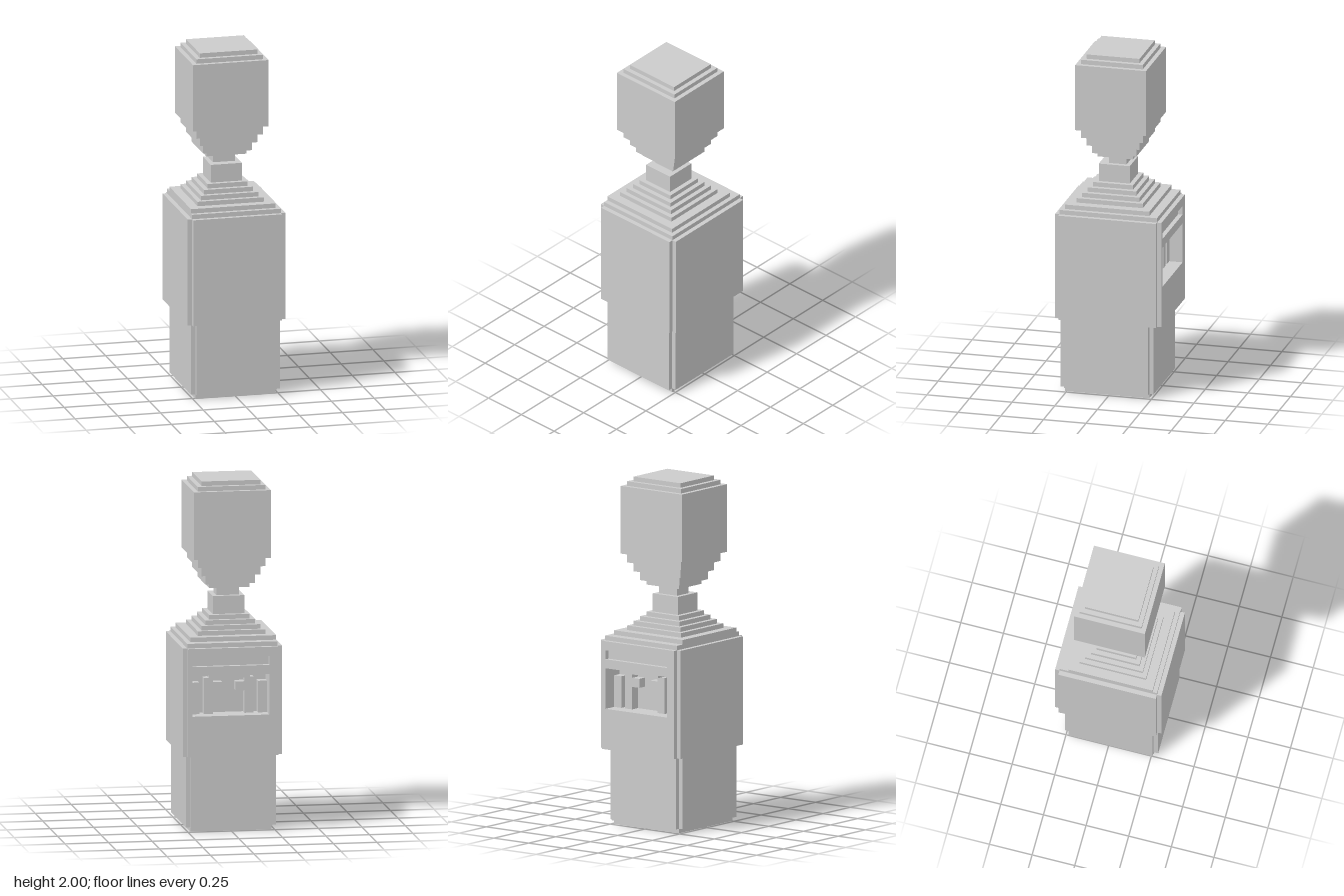
import * as THREE from 'three';

const V = 2 / 77; // one block step
const material = new THREE.MeshStandardMaterial({ color: 0xcccccc, flatShading: true });

// Box given by its limits in block steps
function block(parent, name, x0, x1, y0, y1, z0, z1) {
  const geometry = new THREE.BoxGeometry((x1 - x0) * V, (y1 - y0) * V, (z1 - z0) * V);
  const mesh = new THREE.Mesh(geometry, material);
  mesh.name = name;
  mesh.position.set((x0 + x1) / 2 * V, (y0 + y1) / 2 * V, (z0 + z1) / 2 * V);
  parent.add(mesh);
}

function rectangle(target, x0, x1, y0, y1) {
  target.moveTo(x0 * V, y0 * V);
  target.lineTo(x1 * V, y0 * V);
  target.lineTo(x1 * V, y1 * V);
  target.lineTo(x0 * V, y1 * V);
  target.closePath();
  return target;
}

function group(parent, name) {
  const g = new THREE.Group();
  g.name = name;
  parent.add(g);
  return g;
}

// Stack of slabs: [x0, x1, y0, y1, z0, z1]
function stack(parent, name, slabs) {
  const g = group(parent, name);
  slabs.forEach((s, i) => block(g, name + 'Step' + (i + 1), ...s));
}

export function createModel() {
  const model = new THREE.Group();
  model.name = 'steppedFigure';

  // Base and lower body, with notched corners
  stack(model, 'lowerBody', [
    [-9, 9, 0, 1, -9, 10],
    [-9, 9, 1, 17, -10, 11],
    [-10, 10, 1, 17, -9, 10],
  ]);

  // Upper body core and its two side plates
  const body = group(model, 'upperBody');
  block(body, 'bodyCore', -10, 10, 17, 41, -7, 12);
  block(body, 'leftSide', 10, 11, 17, 41, -11, 11);
  block(body, 'rightSide', -11, -10, 17, 41, -11, 11);

  // Back plate with a slot and a deep window cut through it
  const plate = rectangle(new THREE.Shape(), -10, 10, 17, 41);
  plate.holes.push(rectangle(new THREE.Path(), -8, 9, 37, 39));
  plate.holes.push(rectangle(new THREE.Path(), -8, 9, 26, 35));
  const backPlate = new THREE.Mesh(
    new THREE.ExtrudeGeometry(plate, { depth: 5 * V, bevelEnabled: false }), material);
  backPlate.name = 'backPlate';
  backPlate.position.z = -12 * V;
  body.add(backPlate);
  block(body, 'slotFloor', -8, 9, 37, 39, -11, -7);

  // Fittings inside the window, mirrored about x = 0.5
  const fittings = group(body, 'windowFittings');
  block(fittings, 'brow', -4, 5, 34, 35, -10, -7);
  for (const s of [-1, 1]) {
    const pair = (name, a, b, ...rest) =>
      block(fittings, name, 0.5 + Math.min(s * a, s * b), 0.5 + Math.max(s * a, s * b), ...rest);
    pair('outerColumn', 6.5, 8.5, 26, 33, -9, -7);
    pair('innerColumn', 3.5, 5.5, 26, 34, -9, -7);
    pair('peg', 1.5, 3.5, 31, 33, -9, -7);
  }

  // Shoulders stepping in to the neck
  stack(model, 'shoulders', [
    [-10, 10, 41, 42, -11, 11],
    [-10, 9, 42, 43, -9, 10],
    [-8, 7, 43, 44, -7, 8],
    [-7, 6, 44, 45, -6, 7],
    [-6, 5, 45, 46, -5, 6],
    [-5, 4, 46, 47, -4, 5],
  ]);
  stack(model, 'neck', [
    [-4, 3, 47, 51, -3, 4],
    [-3, 2, 51, 53, -2, 2],
  ]);

  // Head: inverted steps, a tall cube and a stepped crown
  const levels = [[4, 53, 54], [5, 54, 56], [6, 56, 58], [7, 58, 60],
    [8, 60, 75], [7, 75, 76], [6, 76, 77]];
  stack(model, 'head', levels.map(([h, y0, y1]) => [-h - 1, h, y0, y1, -h, h]));

  return model;
}
